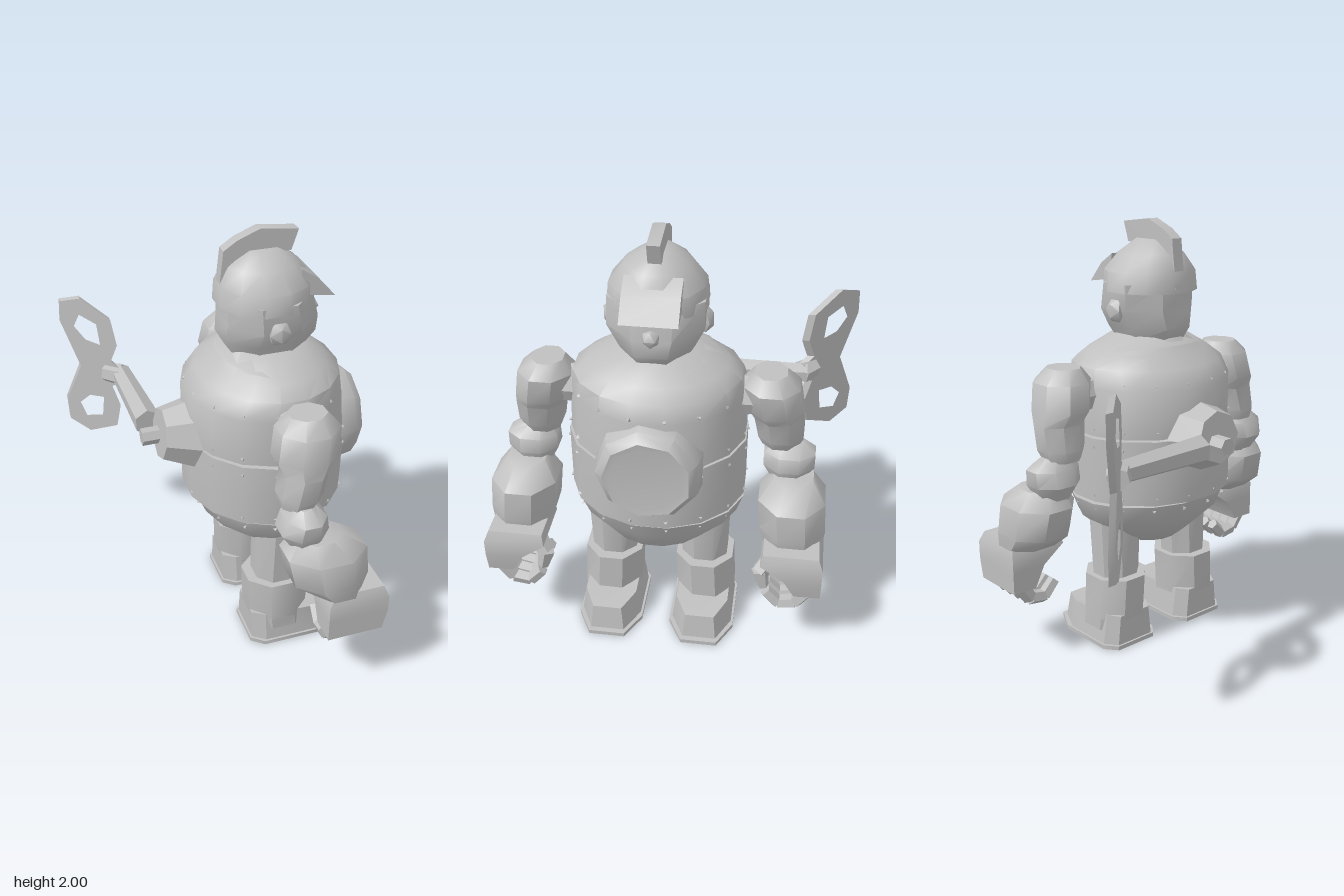
import * as THREE from 'three';
import { toCreasedNormals } from 'three/addons/utils/BufferGeometryUtils.js';

const MID = 0.035; // z of the body's mirror plane

export function createModel() {
  const root = new THREE.Group();
  const steel = new THREE.MeshStandardMaterial({ color: 0xbfbfbf });
  steel.name = 'grey metal';

  const add = (name, geo, parent = root, crease = 0.75) => {
    const m = new THREE.Mesh(toCreasedNormals(geo, crease), steel);
    m.name = name;
    parent.add(m);
    return m;
  };

  // Closed solid from rings [y, xMin, xMax, zMin, zMax], bottom to top
  const loft = (rings, n = 8) => {
    const pos = [], idx = [], k = 1 / Math.cos(Math.PI / n), R = rings.length;
    const middle = ([y, x0, x1, z0, z1]) => [(x0 + x1) / 2, y, (z0 + z1) / 2];
    for (const r of rings) {
      const [cx, y, cz] = middle(r);
      const rx = Math.abs(r[2] - r[1]) / 2 * k, rz = Math.abs(r[4] - r[3]) / 2 * k;
      for (let i = 0; i < n; i++) {
        const a = (i + 0.5) / n * Math.PI * 2;
        pos.push(cx + rx * Math.cos(a), y, cz + rz * Math.sin(a));
      }
    }
    pos.push(...middle(rings[0]), ...middle(rings[R - 1]));
    for (let i = 0; i < n; i++) {
      const j = (i + 1) % n, top = (R - 1) * n;
      for (let r = 0; r < R - 1; r++) {
        const b = r * n, t = b + n;
        idx.push(b + i, t + i, b + j, t + i, t + j, b + j);
      }
      idx.push(R * n, i, j, R * n + 1, top + j, top + i);
    }
    const g = new THREE.BufferGeometry();
    g.setAttribute('position', new THREE.Float32BufferAttribute(pos, 3));
    g.setIndex(idx);
    g.computeVertexNormals();
    return g;
  };

  // Tapered bar between two points
  const bar = (a, b, r0, r1, n = 5) => {
    const A = new THREE.Vector3(...a), B = new THREE.Vector3(...b), d = B.clone().sub(A);
    const g = new THREE.CylinderGeometry(r1, r0, d.length(), n);
    g.applyQuaternion(new THREE.Quaternion().setFromUnitVectors(new THREE.Vector3(0, 1, 0), d.normalize()));
    const c = A.add(B).multiplyScalar(0.5);
    return g.translate(c.x, c.y, c.z);
  };

  const outline = pts => new THREE.Shape(pts.map(p => new THREE.Vector2(...p)));
  const slab = (shape, depth) => new THREE.ExtrudeGeometry(shape, { depth, bevelEnabled: false });

  // Barrel body in three plated bands
  const torso = new THREE.Group();
  torso.name = 'torso';
  root.add(torso);
  add('pelvis', loft([[0.48, 0.04, 0.33, -0.1, 0.18], [0.53, -0.02, 0.4, -0.2, 0.27],
    [0.64, -0.13, 0.46, -0.33, 0.39], [0.735, -0.17, 0.51, -0.36, 0.42]], 16), torso);
  add('waistSeam', loft([[0.73, -0.15, 0.48, -0.32, 0.39], [1.07, -0.15, 0.48, -0.32, 0.39]], 16), torso);
  add('belly', loft([[0.75, -0.2, 0.525, -0.36, 0.43], [0.9, -0.205, 0.53, -0.36, 0.43],
    [1.05, -0.2, 0.53, -0.36, 0.43]], 16), torso);
  add('chest', loft([[1.06, -0.2, 0.53, -0.355, 0.42], [1.28, -0.2, 0.51, -0.35, 0.415],
    [1.36, -0.14, 0.49, -0.33, 0.4], [1.41, -0.07, 0.43, -0.27, 0.34],
    [1.485, 0.0, 0.33, -0.12, 0.2]], 16), torso);
  const collar = add('collar', loft([[0, -0.25, 0.25, -0.28, 0.28], [0.045, -0.19, 0.19, -0.2, 0.2]], 12), torso);
  collar.position.set(0.2, 1.415, MID);
  collar.rotation.z = -0.12;

  // Rivets round each band
  for (const [y, rx, rz] of [[0.71, 0.335, 0.385], [0.78, 0.365, 0.398], [1.01, 0.368, 0.398],
    [1.09, 0.367, 0.39], [1.3, 0.35, 0.375]]) {
    for (let i = 0; i < 16; i++) {
      const a = (i + 0.5) / 16 * Math.PI * 2, c = Math.cos(a), s = Math.sin(a);
      add('rivet', bar([0.165 + rx * c, y, MID + rz * s],
        [0.165 + (rx + 0.012) * c, y, MID + (rz + 0.012) * s], 0.011, 0.004, 3), torso);
    }
  }

  // Round chest plate
  const plate = new THREE.LatheGeometry([[0, 0.59], [0.16, 0.585], [0.19, 0.59], [0.225, 0.55], [0.24, 0.46]]
    .reverse().map(p => new THREE.Vector2(...p)), 9);
  add('chestPlate', plate.rotateZ(-Math.PI / 2).translate(0, 1.05, 0.03), torso);

  // Head, ears, nose and peaked cap
  const head = new THREE.Group();
  head.name = 'head';
  root.add(head);
  add('face', loft([[1.46, 0.0, 0.33, -0.1, 0.18], [1.52, -0.04, 0.38, -0.13, 0.2],
    [1.6, -0.03, 0.38, -0.17, 0.24], [1.72, -0.03, 0.35, -0.17, 0.24]]), head);
  add('cap', loft([[1.68, -0.055, 0.36, -0.175, 0.245], [1.77, -0.05, 0.36, -0.165, 0.235],
    [1.85, -0.01, 0.3, -0.1, 0.17], [1.91, 0.07, 0.22, -0.02, 0.08]], 12), head);
  add('visor', slab(outline([[0.28, 1.84], [0.36, 1.79], [0.44, 1.7], [0.3, 1.72]]), 0.24).translate(0, 0, MID - 0.12), head);
  add('crest', slab(outline([[-0.055, 1.7], [-0.03, 1.92], [0.03, 1.96], [0.13, 2], [0.3, 1.98],
    [0.27, 1.89], [0.1, 1.88], [0, 1.8]]), 0.055).translate(0, 0, 0.005), head);
  add('nose', new THREE.IcosahedronGeometry(0.04, 0).translate(0.375, 1.61, MID), head);

  // Limbs, mirrored across the middle plane
  for (const side of [1, -1]) {
    const Z = z => MID + side * (z - MID);
    const P = ([x, y, z]) => [x, y, Z(z)];
    const limb = (rings, n) => loft(rings.map(([y, a, b, c, d]) => [y, a, b, Z(c), Z(d)]), n);
    const tag = side > 0 ? 'left' : 'right';

    add(tag + 'Ear', new THREE.IcosahedronGeometry(0.055, 0).scale(1, 1.1, 0.7).translate(0.16, 1.6, Z(0.235)), head);

    const arm = new THREE.Group();
    arm.name = tag + 'Arm';
    root.add(arm);
    add('upperArm', limb([[0.98, 0.05, 0.2, 0.5, 0.66], [1.03, 0.04, 0.23, 0.48, 0.68],
      [1.14, 0.06, 0.25, 0.46, 0.68], [1.2, 0.03, 0.3, 0.43, 0.67],
      [1.32, 0.05, 0.31, 0.41, 0.65], [1.38, 0.1, 0.26, 0.45, 0.59]]), arm);
    add('shoulderJoint', bar(P([0.17, 1.25, 0.3]), P([0.17, 1.25, 0.46]), 0.09, 0.09, 8), arm);
    add('elbow', limb([[0.8, 0.08, 0.2, 0.55, 0.69], [0.88, 0.03, 0.24, 0.51, 0.74],
      [0.95, 0.05, 0.23, 0.51, 0.74], [1, 0.09, 0.18, 0.55, 0.68]]), arm);
    add('gauntlet', limb([[0.56, 0.17, 0.4, 0.53, 0.8], [0.63, 0.08, 0.42, 0.51, 0.81],
      [0.77, 0.05, 0.41, 0.5, 0.8], [0.85, 0.1, 0.3, 0.56, 0.74]]), arm);
    add('palm', limb([[0.36, 0.21, 0.47, 0.69, 0.81], [0.46, 0.21, 0.49, 0.64, 0.81],
      [0.54, 0.21, 0.49, 0.53, 0.81], [0.59, 0.24, 0.47, 0.54, 0.79]], 4), arm);
    for (let i = 0; i < 4; i++) {
      const x = 0.25 + i * 0.062;
      const pts = [[x, 0.39, 0.76], [x, 0.3, 0.7], [x, 0.285, 0.62], [x, 0.35, 0.56]].map(P);
      for (let j = 0; j < 3; j++) add('finger', bar(pts[j], pts[j + 1], 0.038 - j * 0.003, 0.035 - j * 0.003), arm);
    }
    add('thumb', bar(P([0.41, 0.54, 0.58]), P([0.44, 0.47, 0.53]), 0.045, 0.042), arm);
    add('thumb', bar(P([0.44, 0.48, 0.53]), P([0.45, 0.39, 0.55]), 0.042, 0.025), arm);

    // Leg, boot shaft, rounded foot and sole
    const leg = new THREE.Group();
    leg.name = tag + 'Leg';
    root.add(leg);
    add('thigh', limb([[0.3, 0.06, 0.26, 0.15, 0.36], [0.68, 0.06, 0.28, 0.13, 0.37]]), leg);
    add('bootShaft', limb([[0.08, 0.03, 0.31, 0.13, 0.4], [0.14, 0.02, 0.31, 0.13, 0.4],
      [0.34, 0.015, 0.31, 0.12, 0.39]]), leg);
    const footShape = (x0, x1, w) => outline([[x0, -w * 0.7], [x0 + 0.06, -w], [x1 - 0.13, -w], [x1, -w * 0.55],
      [x1, w * 0.55], [x1 - 0.13, w], [x0 + 0.06, w], [x0, w * 0.7]]);
    const foot = slab(footShape(0.02, 0.46, 0.145), 0.15).rotateX(-Math.PI / 2);
    const p = foot.attributes.position;
    for (let i = 0; i < p.count; i++) {
      const x = p.getX(i), z = p.getZ(i);
      if (p.getY(i) > 0.1) { // slope the top toward the toe
        p.setXYZ(i, x > 0.4 ? x - 0.02 : x, 0.15 - 0.09 * Math.max(0, x - 0.2), z * 0.85);
      }
    }
    add('foot', foot.translate(0, 0.015, Z(0.258)), leg, 0.5);
    add('sole', slab(footShape(0.01, 0.485, 0.155), 0.02).rotateX(-Math.PI / 2).translate(0, 0, Z(0.258)), leg);
  }

  // Winding key: socket, shaft and two-lobed handle set on a diagonal
  const key = new THREE.Group();
  key.name = 'windingKey';
  root.add(key);
  add('keySocket', bar([-0.15, 1.05, 0.025], [-0.32, 1.07, 0.025], 0.175, 0.12, 8), key);
  add('keyPin', bar([-0.3, 1.05, 0], [-0.4, 1.05, 0], 0.04, 0.04, 6), key);
  add('keyShaft', bar([-0.34, 1.05, -0.11], [-0.355, 1.05, -0.61], 0.065, 0.05, 6), key);
  add('keyEnd', bar([-0.355, 1.05, -0.58], [-0.42, 1.05, -0.64], 0.055, 0.05, 6), key);
  const half = [[-0.53, 1.05], [-0.6, 1.27], [-0.595, 1.39], [-0.51, 1.43], [-0.39, 1.35], [-0.37, 1.22], [-0.4, 1.12], [-0.35, 1.08]];
  const flip = pts => pts.map(([x, y]) => [x, 2.1 - y]).reverse();
  const bow = outline([...half, ...flip(half.slice(1))]);
  const hole = [[-0.545, 1.27], [-0.52, 1.34], [-0.45, 1.31], [-0.44, 1.2], [-0.5, 1.21]];
  for (const h of [hole, flip(hole)]) bow.holes.push(outline(h));
  const bowGeo = slab(bow, 0.035);
  const b = bowGeo.attributes.position;
  for (let i = 0; i < b.count; i++) b.setZ(i, b.getZ(i) + b.getX(i) - 0.24);
  bowGeo.computeVertexNormals();
  add('keyHandle', bowGeo, key, 0.4);

  return root;
}
